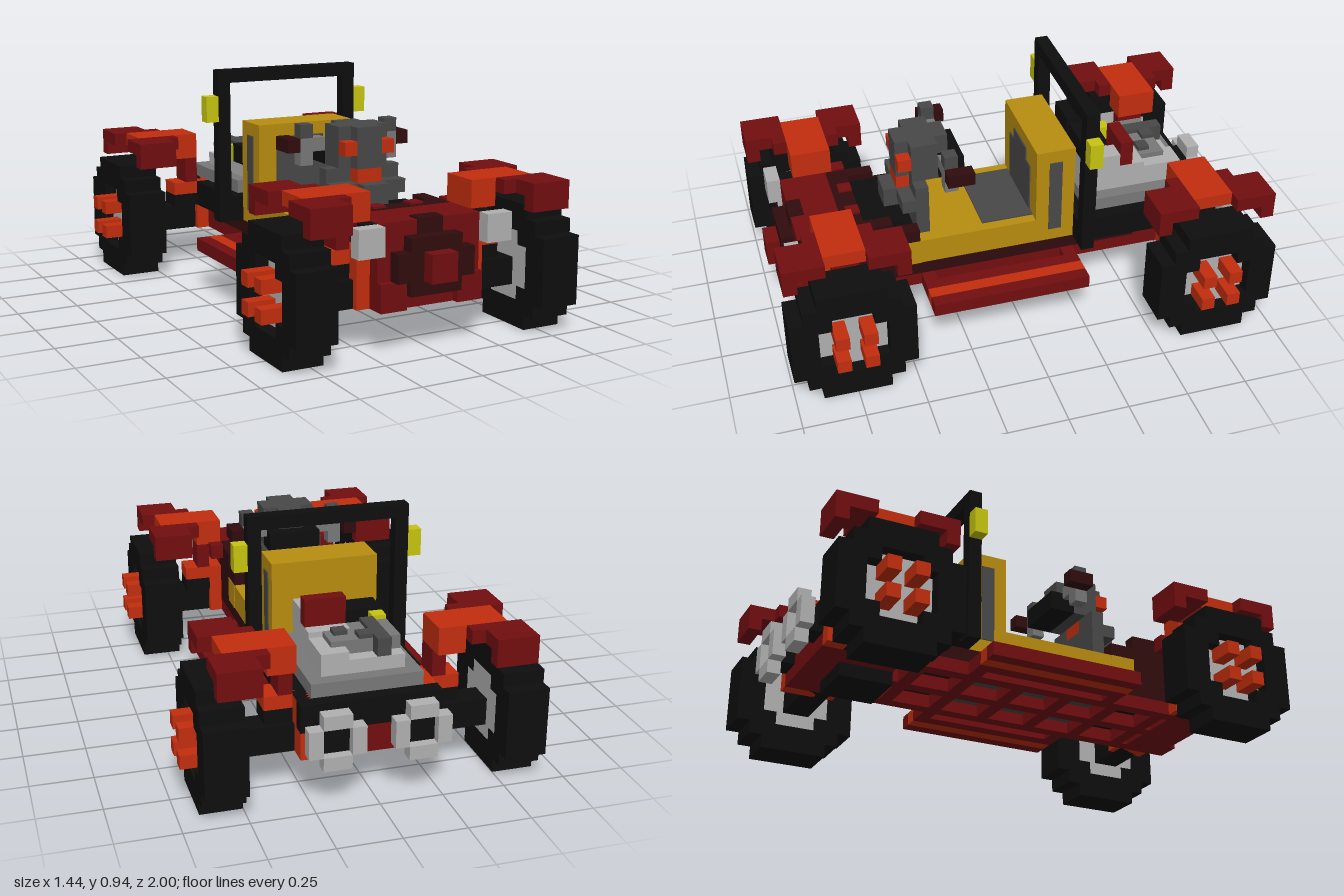
import * as THREE from 'three';

const U = 1 / 18; // one block

const mat = (name, color) => {
  const m = new THREE.MeshStandardMaterial({ color });
  m.name = name;
  return m;
};

export function createModel() {
  const red = mat('darkRed', 0x720e10), maroon = mat('maroon', 0x300c0e);
  const orange = mat('orange', 0xc22d0e), black = mat('black', 0x0e0e0e);
  const light = mat('lightGrey', 0xb0b0b0), mid = mat('midGrey', 0x787878);
  const dark = mat('darkGrey', 0x484848), ochre = mat('ochre', 0xb88c10);
  const yellow = mat('lampYellow', 0xc6c410);

  const root = new THREE.Group();
  root.name = 'buggy';

  // Box from min/max block coordinates
  const box = (name, m, x0, x1, y0, y1, z0, z1, parent = root) => {
    const g = new THREE.BoxGeometry((x1 - x0) * U, (y1 - y0) * U, (z1 - z0) * U);
    const mesh = new THREE.Mesh(g, m);
    mesh.position.set((x0 + x1) / 2 * U, (y0 + y1) / 2 * U, (z0 + z1) / 2 * U);
    mesh.name = name;
    parent.add(mesh);
    return mesh;
  };
  // The same box on both sides
  const pair = (name, m, x0, x1, ...r) => {
    box(name + 'Left', m, x0, x1, ...r);
    box(name + 'Right', m, -x1, -x0, ...r);
  };

  // Stepped round outline: one quadrant turned four times
  const stepped = (quad, Type = THREE.Shape) => {
    const pts = [];
    for (let i = 0; i < 4; i++) {
      for (const [a, b] of quad) {
        const c = [1, 0, -1, 0][i], s = [0, 1, 0, -1][i];
        pts.push(new THREE.Vector2((a * c - b * s) * U, (a * s + b * c) * U));
      }
    }
    return new Type(pts);
  };
  const tyreQuad = [[4.5, 2.5], [3.5, 2.5], [3.5, 3.5], [2.5, 3.5], [2.5, 4.5]];
  const hubQuad = [[2.5, 1.5], [1.5, 1.5], [1.5, 2.5]];
  const tyreShape = stepped(tyreQuad);
  tyreShape.holes.push(stepped(hubQuad, THREE.Path));
  const tyreGeo = new THREE.ExtrudeGeometry(tyreShape, { depth: 3 * U, bevelEnabled: false });
  const hubGeo = new THREE.ExtrudeGeometry(stepped(hubQuad), { depth: 2 * U, bevelEnabled: false });

  // Wheels
  const wheel = (name, side, inner, z) => {
    const w = new THREE.Group();
    w.name = name;
    const tyre = new THREE.Mesh(tyreGeo, black);
    tyre.name = 'tyre';
    const hub = new THREE.Mesh(hubGeo, light);
    hub.name = 'hub';
    w.add(tyre, hub);
    for (const a of [-1, 1]) for (const b of [-1, 1]) {
      box('wheelNut', orange, a - 0.5, a + 0.5, b - 0.5, b + 0.5, 2, 4, w);
    }
    w.rotation.y = side * Math.PI / 2;
    w.position.set(side * inner * U, 4.5 * U, z * U);
    root.add(w);
  };
  for (const s of [1, -1]) {
    wheel('frontWheel', s, 8, 13.5);
    wheel('rearWheel', s, 9, -13.5);
  }

  // Fenders: o shifts the rear pair outwards, d is the direction of the body end
  for (const [n, o, d] of [['front', 0, 1], ['rear', 1, -1]]) {
    const zr = (a, b) => d > 0 ? [a, b] : [-b, -a];
    pair(n + 'FenderTop', orange, 4 + o, 9 + o, 10, 11, ...zr(12, 15));
    pair(n + 'FenderBrace', orange, 4 + o, 6 + o, 9, 10, ...zr(12, 15));
    pair(n + 'FenderOuter', red, 7 + o, 10 + o, 10, 11, ...zr(9, 11));
    pair(n + 'FenderInner', red, 6 + o, 10 + o, 10, 11, ...zr(11, 12));
    pair(n + 'FenderTipInner', red, 6 + o, 10 + o, 10, 11, ...zr(15, 16));
    pair(n + 'FenderTip', red, 7 + o, 10 + o, 10, 11, ...zr(16, 18));
    pair(n + 'FenderLip', red, 7 + o, 10 + o, 9, 10, ...zr(17, 18));
    pair(n + 'FenderHem', red, 7 + o, 10 + o, 9, 10, ...zr(9, 10));
    // Suspension
    pair(n + 'Axle', black, 4, 8 + o, 3, 5, ...zr(12.5, 14.5));
    pair(n + 'Spring', black, 5, 7, 5, 6, ...zr(12, 14));
    pair(n + 'UpperArm', orange, 4, 7, 6, 7, ...zr(12, 14));
    pair(n + 'Upright', orange, 4, 5, 3, 7, ...zr(12, 15));
    pair(n + 'FenderStrut', red, 5, 6, 7, 9, ...zr(12, 14));
  }

  // Nose and grille
  box('nose', red, -4, 4, 3, 9, 12.5, 16);
  box('cowl', maroon, -4, 4, 4, 9, 11, 12.5);
  box('grille', maroon, -3, 3, 5, 7, 16, 17);
  box('grilleTop', maroon, -2, 2, 7, 8, 16, 17);
  box('grilleBottom', maroon, -2, 2, 4, 5, 16, 17);
  box('grilleCrown', maroon, -1, 1, 8, 9.1, 15, 16.1);
  box('noseBadgeBlock', red, -1, 1, 5, 7, 17, 18);
  pair('grilleCorner', red, 2, 4, 3, 5, 16, 16.5);
  pair('headlight', light, 4, 6, 7, 9, 16, 17);
  pair('headlightMount', black, 4, 5, 7, 9, 15, 16);
  pair('cowlStud', red, 1, 2, 9, 9.15, 11, 12);
  pair('cowlEdgeStud', red, 4, 5, 8, 9.15, 11, 12);

  // Foot well between nose and cabin
  box('footWellFloor', black, -3, 3, 4, 7, 7, 11);
  pair('footWellSide', maroon, 3, 4, 4, 8, 7, 11);
  pair('footWellRise', maroon, 3, 4, 8, 9, 9, 11);
  box('footWellStep', black, -3, 3, 7, 8.5, 8, 11);

  // Chassis and underside ladder frame
  box('chassisPlate', maroon, -4, 4, 4, 5, -11, 9);
  pair('chassisRail', red, 3, 4, 3, 4, -10, 12.5);
  box('centreRail', red, -0.5, 0.5, 3, 4, -10, 12.5);
  for (let z = -9; z <= 11; z += 4) box('crossMember', red, -3, 3, 3, 4, z, z + 1);
  for (let z = -4; z <= 4; z += 4) pair('floorPanel', dark, 0.5, 3, 3.9, 4, z, z + 3);
  box('sump', black, -2, 2, 2, 4, -14, -10);

  // Side steps
  pair('stepOuter', red, 7, 8, 3, 4, -5, 7);
  pair('stepMiddle', orange, 6, 7, 3, 4, -5, 7);
  pair('stepInner', red, 5, 6, 3, 4, -5, 7);
  pair('stepFrontBracket', red, 4, 5, 3, 4, 6, 7);
  pair('stepRearBracket', red, 4, 5, 3, 4, -5, -4);

  // Cabin tub and seat
  box('tub', ochre, -4, 4, 5, 7, -5, 7);
  pair('tubFrontCheek', ochre, 3.9, 4.05, 5, 7, 7, 9);
  box('seatBack', ochre, -4, 4, 7, 13, -5, -2);
  box('seatCushion', dark, -3.2, 3.2, 7, 7.1, -2, 2);
  box('seatBackPad', dark, -2.5, 2.5, 7, 11, -2, -1.9);
  box('seatBackPadTop', dark, -1.5, 1.5, 11, 12, -2, -1.9);
  pair('seatSideStripe', dark, 4, 4.08, 6, 12, -4, -3);

  // Dashboard and steering
  box('dashBase', dark, -3, 3, 7, 9, 6, 7);
  box('dashPanel', dark, -3, 3, 9, 10, 6, 8);
  pair('dashShoulder', dark, 1, 3, 10, 11, 6, 7);
  box('steeringColumn', dark, -1, 1, 8.5, 10, 7, 9);
  box('columnCollar', orange, -1, 1, 10, 11, 6, 8);
  box('console', dark, -2, 2, 11, 14, 5, 7);
  box('consoleNose', dark, -1, 1, 11, 14, 7, 8);
  pair('consoleLamp', orange, 1, 2, 12, 13, 7, 8);
  box('consoleRear', black, -2, 2, 11, 12.5, 3, 5);
  box('consoleRearTop', dark, -1, 1, 12.5, 14, 4, 5);
  pair('handlebar', mid, 2, 3, 12, 13, 4, 5);
  pair('handlebarEnd', mid, 3, 4, 11, 13, 4, 5);
  pair('handlebarMirror', dark, 3, 4, 13, 14, 4, 5);
  pair('handGrip', maroon, 4, 5, 12, 13, 3, 5);

  // Roll bar and lamps
  pair('rollBarPost', black, 5, 6, 5, 16, -6, -5);
  box('rollBarTop', black, -6, 6, 16, 17, -6, -5);
  box('rollBarFoot', black, -5, 5, 5, 7, -6, -5);
  pair('sideLamp', yellow, 6, 7, 13, 15, -6, -5);

  // Rear deck and tail
  box('rearDeck', black, -5, 5, 5, 7, -16, -6);
  box('tailPanel', red, -4, 4, 3, 5, -16, -10);
  pair('tailCorner', orange, 4, 5, 3, 5, -16, -15);
  box('engineBed', mid, -4, 4, 7, 8, -15, -6);

  // Engine
  box('engineBlock', light, -3, 3, 8, 9, -14, -7);
  box('engineHead', light, 0, 3, 9, 10, -11, -7);
  box('valveCover', light, 1.5, 3, 10, 11, -9, -7);
  box('airBox', black, -3, 0, 9, 10.5, -9, -7);
  box('gearCase', mid, -3, 2, 9, 10, -13, -10);
  box('intakePipe', dark, -2, -1, 9, 10.3, -14, -10);
  box('intakeElbow', dark, -1, 0, 9, 10.3, -13, -12);
  box('plug', dark, 0.5, 1.5, 9, 10.3, -12, -11.1);
  box('fuelCap', yellow, -3, -2, 9, 10.3, -10, -9);
  box('engineCap', red, 0, 3, 10, 12, -10, -9);
  box('cylinderBack', light, 1, 3, 9, 9.6, -14, -11);

  // Twin exhausts: hollow light rings on black stubs
  for (const s of [-1, 1]) {
    const c = s * 3;
    box('exhaustStub', black, c - 1, c + 1, 4, 6, -17, -16);
    box('exhaustCore', black, c - 1, c + 1, 4, 6, -17.3, -17);
    box('exhaustTop', light, c - 1, c + 1, 6, 7, -18, -17);
    box('exhaustBottom', light, c - 1, c + 1, 3, 4, -18, -17);
    for (const t of [-1.5, 1.5]) box('exhaustSide', light, c + t - 0.5, c + t + 0.5, 4, 6, -18, -17);
  }
  return root;
}
